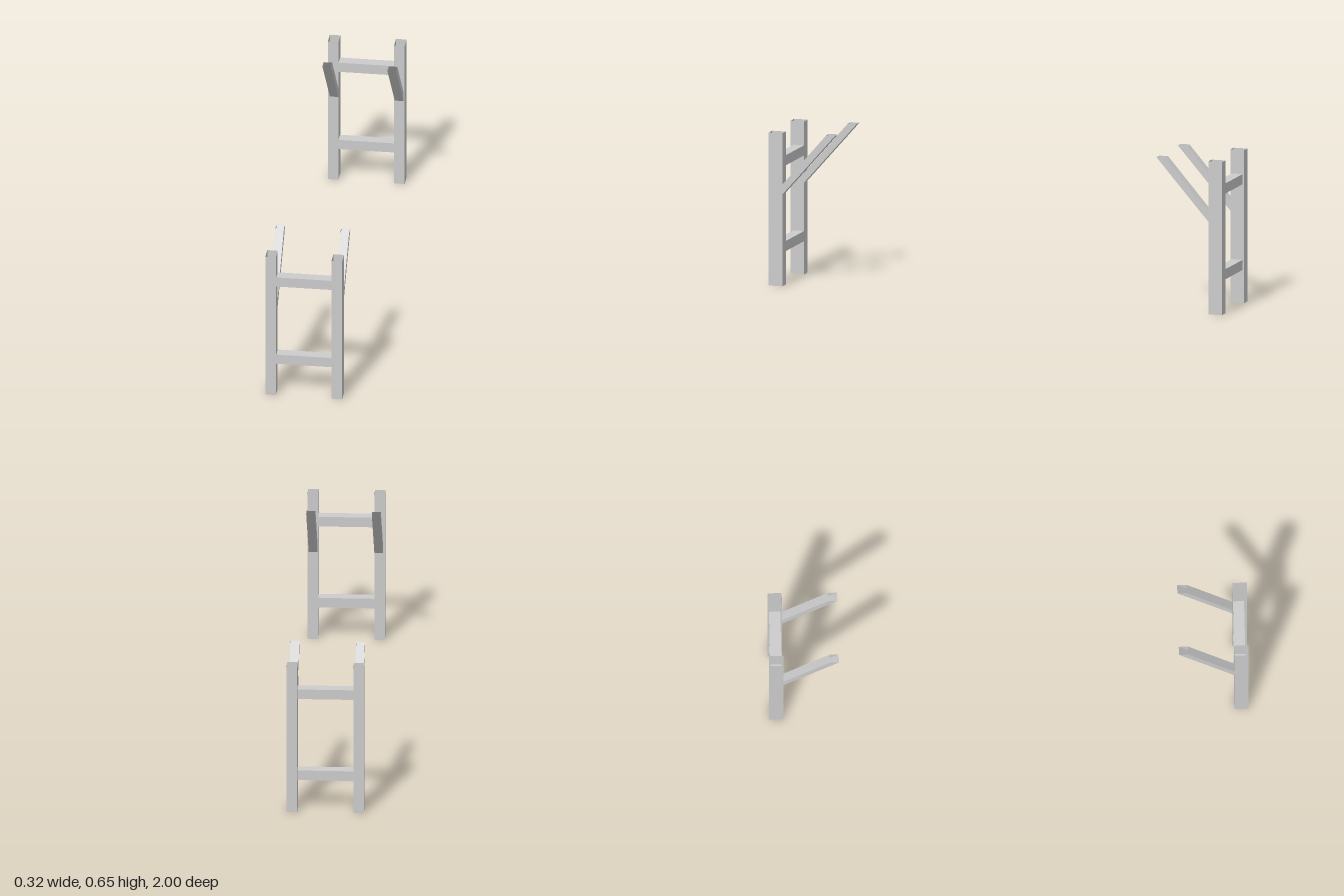
import * as THREE from 'three';

// Open-ended four-sided tube from ring a to ring b (rings counter-clockwise seen from the b end)
function openTube(a, b) {
  const pos = [];
  for (let i = 0; i < 4; i++) {
    const j = (i + 1) % 4;
    for (const p of [a[i], a[j], b[j], a[i], b[j], b[i]]) pos.push(...p);
  }
  const geo = new THREE.BufferGeometry();
  geo.setAttribute('position', new THREE.Float32BufferAttribute(pos, 3));
  geo.computeVertexNormals();
  return geo;
}

function postGeometry(x0, x1, z0, z1, height) {
  const ring = y => [[x0, y, z1], [x1, y, z1], [x1, y, z0], [x0, y, z0]];
  return openTube(ring(0), ring(height));
}

function railGeometry(x0, x1, y0, y1, z0, z1) {
  const ring = x => [[x, y0, z1], [x, y0, z0], [x, y1, z0], [x, y1, z1]];
  return openTube(ring(x0), ring(x1));
}

// Sloped brace, cut upright where it meets the post and level at its top
function braceGeometry(x0, x1, side) {
  const [p, q] = side > 0 ? [x1, x0] : [x0, x1];
  const ring = (yLow, zLow, yHigh, zHigh) => [
    [p, yLow, side * zLow], [q, yLow, side * zLow],
    [q, yHigh, side * zHigh], [p, yHigh, side * zHigh],
  ];
  return openTube(ring(0.39, 0.94, 0.432, 0.94), ring(0.652, 0.709, 0.652, 0.748));
}

export function createModel() {
  const model = new THREE.Group();
  model.name = 'endFrames';
  const steel = new THREE.MeshStandardMaterial({ color: 0xcccccc, side: THREE.DoubleSide });
  steel.name = 'light grey steel';

  const add = (group, name, geo) => {
    const mesh = new THREE.Mesh(geo, steel);
    mesh.name = name;
    group.add(mesh);
  };

  for (const side of [1, -1]) {
    const frame = new THREE.Group();
    frame.name = side > 0 ? 'frontFrame' : 'backFrame';
    const [z0, z1] = side > 0 ? [0.94, 1] : [-1, -0.94];

    // Hollow upright posts
    add(frame, 'rightPost', postGeometry(-0.162, -0.118, z0, z1, 0.649));
    add(frame, 'leftPost', postGeometry(0.116, 0.161, z0, z1, 0.649));

    // Cross rails, running into the posts
    const [r0, r1] = side > 0 ? [0.941, 0.987] : [-0.994, -0.947];
    add(frame, 'lowerRail', railGeometry(-0.154, 0.132, 0.141, 0.184, r0, r1));
    add(frame, 'upperRail', railGeometry(-0.154, 0.132, 0.505, 0.548, r0, r1));

    // Braces leaning inward
    add(frame, 'rightBrace', braceGeometry(-0.154, -0.118, side));
    add(frame, 'leftBrace', braceGeometry(0.119, 0.156, side));
    model.add(frame);
  }
  return model;
}
